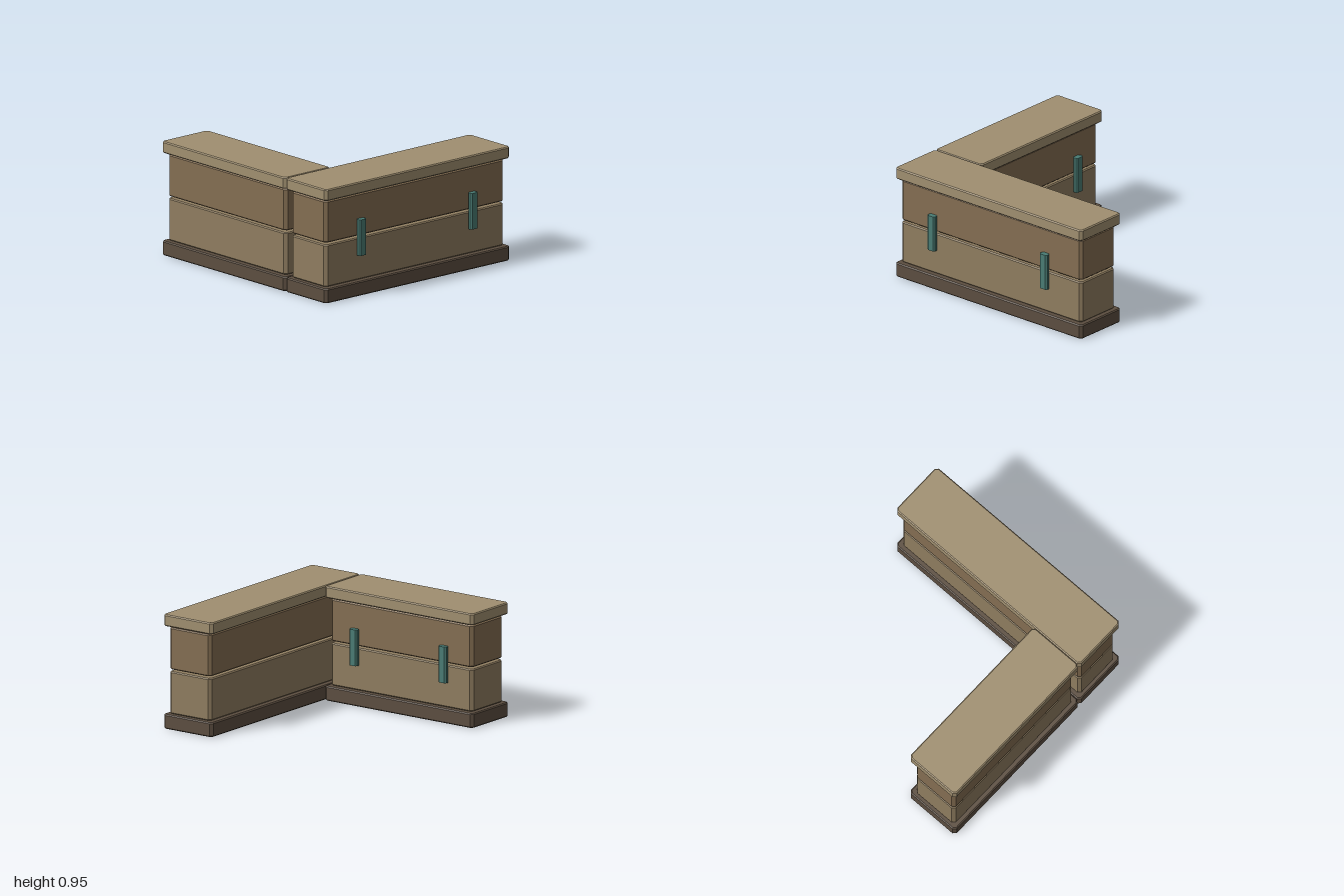
import * as THREE from 'three';

const mat = (color) => new THREE.MeshStandardMaterial({ color, flatShading: true });

// Box standing on y0 with cut vertical corners and an optional small bevel on top and bottom edges
function slab(name, width, depth, y0, y1, material, cut = 0.024, bevel = 0.009) {
  const w = width / 2 - bevel, d = depth / 2 - bevel;
  const c = cut - bevel * 0.6;
  const outline = [
    [w, -d + c], [w, d - c], [w - c, d], [-w + c, d],
    [-w, d - c], [-w, -d + c], [-w + c, -d], [w - c, -d],
  ].map(([x, y]) => new THREE.Vector2(x, y));
  const geometry = new THREE.ExtrudeGeometry(new THREE.Shape(outline), {
    depth: y1 - y0 - 2 * bevel,
    bevelEnabled: bevel > 0,
    bevelSize: bevel,
    bevelThickness: bevel,
    bevelSegments: 1,
  });
  geometry.rotateX(-Math.PI / 2);
  geometry.translate(0, y0 + bevel, 0);
  const mesh = new THREE.Mesh(geometry, material);
  mesh.name = name;
  return mesh;
}

export function createModel() {
  const model = new THREE.Group();
  model.name = 'cornerWall';
  const cap = mat(0xa08f70), upper = mat(0x846e52), lower = mat(0x8f7d60);
  const base = mat(0x5c4e40), strip = mat(0x4a7c74);

  // One straight wall along x, its strips on the +z face
  function wall(name, length, stripXs) {
    const group = new THREE.Group();
    group.name = name;
    const depth = 0.494, inset = 0.064, blockDepth = 0.418;
    group.add(
      slab('base', length, depth, 0, 0.12, base),
      slab('lowerBlock', length - inset, blockDepth, 0.124, 0.474, lower),
      slab('upperBlock', length - inset, blockDepth, 0.491, 0.838, upper),
      slab('cap', length, depth, 0.851, 0.947, cap),
    );
    for (const x of stripXs) {
      const mesh = slab('strip', 0.078, 0.048, 0.335, 0.635, strip, 0.013, 0);
      mesh.position.set(x, 0, 0.236);
      group.add(mesh);
    }
    return group;
  }

  // Long front wall
  const front = wall('frontWall', 1.986, [-0.6, 0.595]);
  front.position.set(0, 0, 0.74);

  // Shorter side wall, turned so its strips face +x
  const side = wall('sideWall', 1.492, [-0.451, 0.446]);
  side.rotation.y = Math.PI / 2;
  side.position.set(-0.747, 0, -0.254);

  model.add(front, side);
  return model;
}
